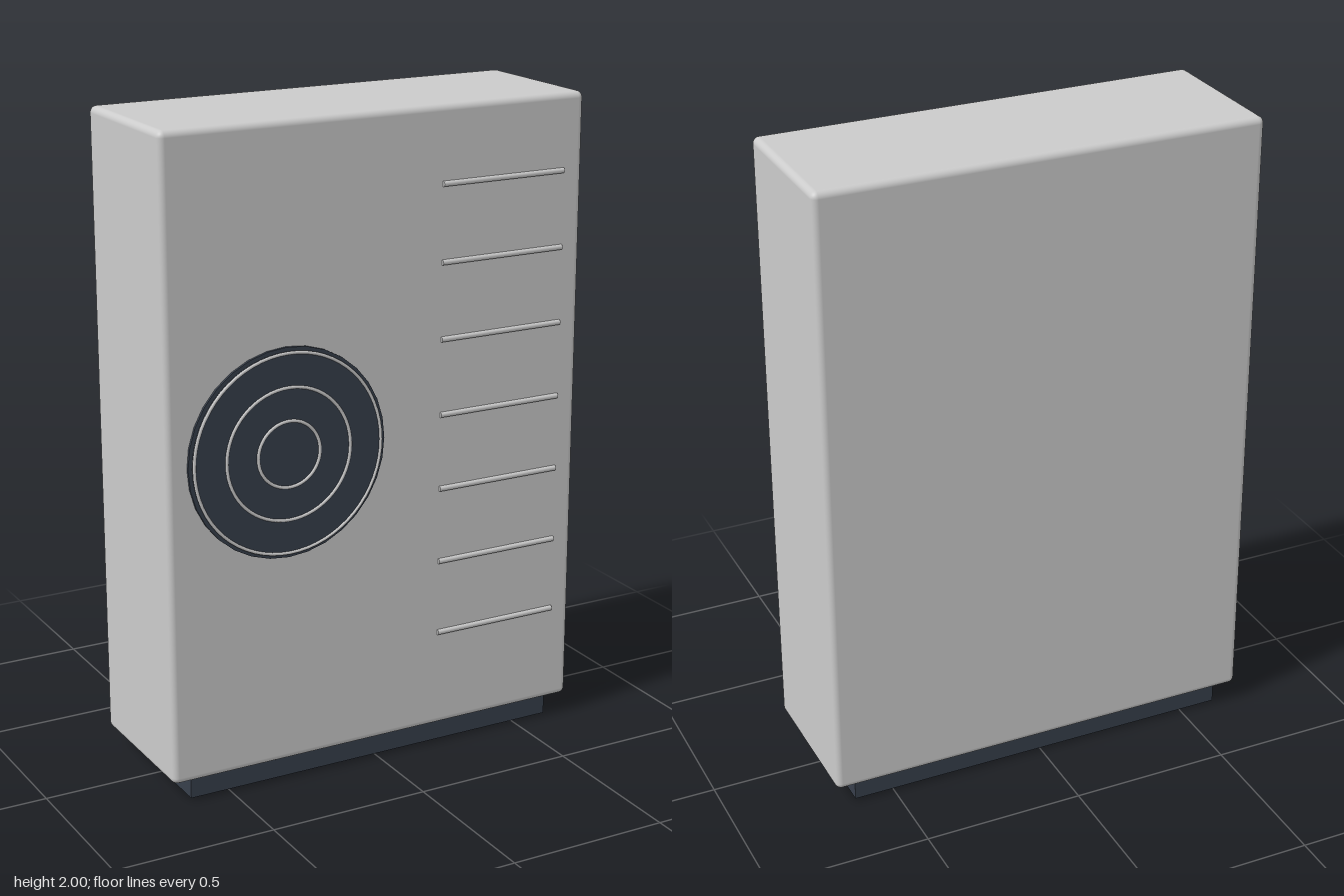
import * as THREE from 'three';
import { RoundedBoxGeometry } from 'three/addons/geometries/RoundedBoxGeometry.js';

const grey = new THREE.MeshStandardMaterial({ color: 0xcccccc });
const dark = new THREE.MeshStandardMaterial({ color: 0x373f4b });

export function createModel() {
  const model = new THREE.Group();
  model.name = 'computerCase';

  function add(parent, name, geometry, material, x, y, z) {
    const mesh = new THREE.Mesh(geometry, material);
    mesh.name = name;
    mesh.position.set(x, y, z);
    parent.add(mesh);
    return mesh;
  }

  // Case body with softly rounded edges, on a recessed plinth
  add(model, 'body', new RoundedBoxGeometry(1.38, 1.935, 0.48, 4, 0.02), grey, 0, 1.0325, -0.01);
  add(model, 'base', new THREE.BoxGeometry(1.246, 0.08, 0.43), dark, 0, 0.04, -0.01);

  // Round fan grille: stepped dark disc with concentric rings
  const fan = new THREE.Group();
  fan.name = 'fan';
  fan.position.set(-0.308, 1.034, 0.23);
  model.add(fan);
  const rim = add(fan, 'fanRim', new THREE.CylinderGeometry(0.318, 0.318, 0.02, 32), dark, 0, 0, -0.002);
  const plate = add(fan, 'fanPlate', new THREE.CylinderGeometry(0.305, 0.305, 0.02, 48), dark, 0, 0, 0.005);
  rim.rotation.x = plate.rotation.x = Math.PI / 2;
  for (const radius of [0.1, 0.2, 0.302]) {
    add(fan, 'fanRing', new THREE.TorusGeometry(radius, 0.005, 8, 64), grey, 0, 0, 0.0145);
  }

  // Column of slim horizontal ribs on the front
  const ribs = new THREE.Group();
  ribs.name = 'ribs';
  model.add(ribs);
  for (let i = 0; i < 7; i++) {
    const rib = add(ribs, 'rib', new THREE.CylinderGeometry(0.0085, 0.0085, 0.416, 12), grey, 0.413, 0.373 + i * 0.2327, 0.232);
    rib.rotation.z = Math.PI / 2;
  }
  return model;
}
